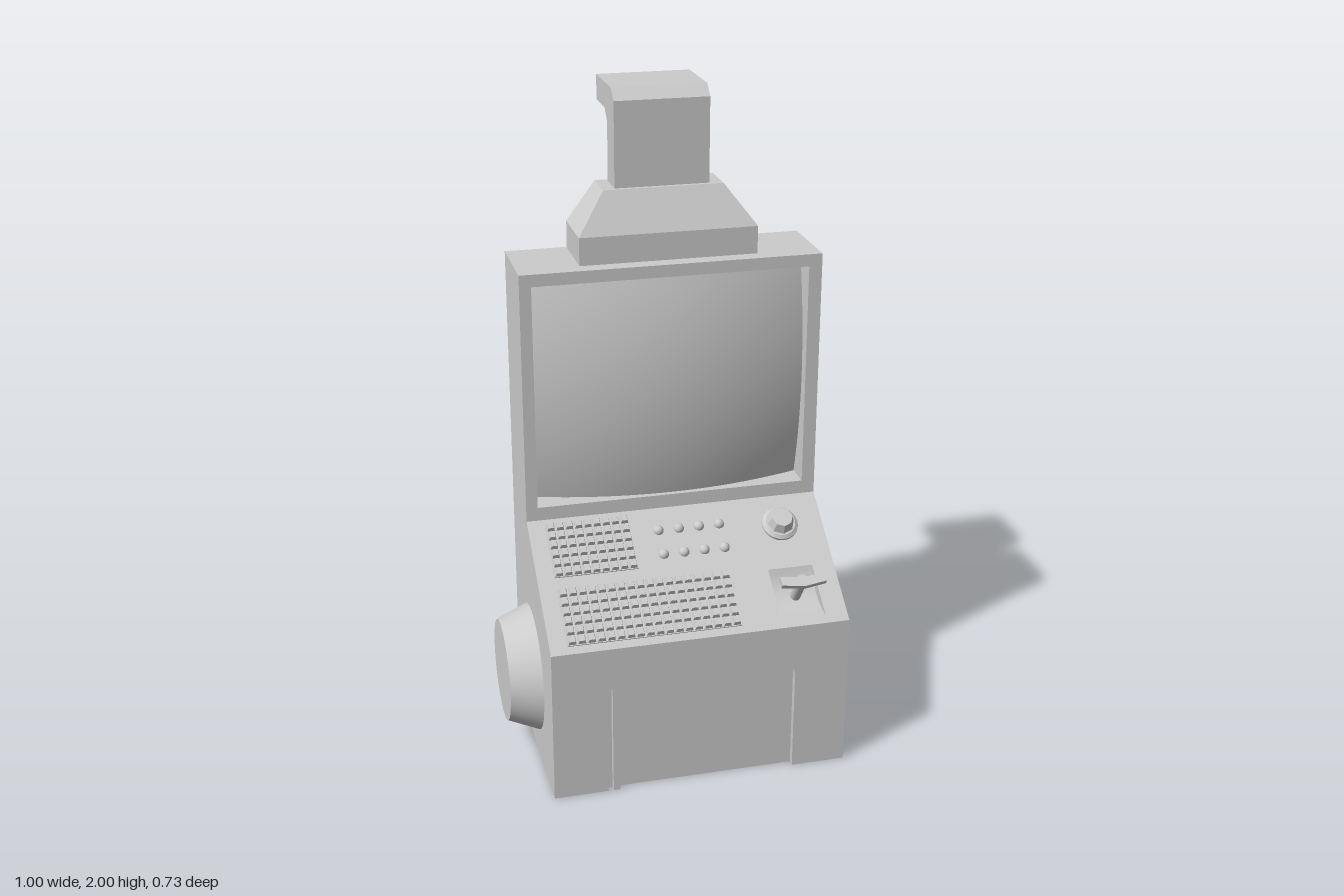
import * as THREE from 'three';
import { mergeGeometries, toCreasedNormals } from 'three/addons/utils/BufferGeometryUtils.js';

const mat = new THREE.MeshStandardMaterial({ color: 0xcccccc, side: THREE.DoubleSide });
const X0 = -0.405, X1 = 0.5, BACK = -0.245, FRONT = 0.365;
const TOP = 1.515, DESK_LOW = 0.485, DESK_HIGH = 0.743;
const slope = Math.atan2(DESK_HIGH - DESK_LOW, FRONT);
const deskY = z => DESK_HIGH - z * Math.tan(slope);

function add(parent, name, geometry, x = 0, y = 0, z = 0) {
  const mesh = new THREE.Mesh(geometry, mat);
  mesh.name = name;
  mesh.position.set(x, y, z);
  parent.add(mesh);
  return mesh;
}

const polygon = pts => new THREE.Shape(pts.map(p => new THREE.Vector2(...p)));
const extrude = (shape, depth) =>
  new THREE.ExtrudeGeometry(shape, { depth, bevelEnabled: false, curveSegments: 10 });

// Extrudes a (z, y) side profile from x0 to x1
const sideExtrude = (shape, x0, x1) =>
  extrude(shape, x1 - x0).rotateY(-Math.PI / 2).translate(x1, 0, 0);

// Box standing on y = 0 whose top rectangle differs from its bottom one: [x0, x1, z0, z1]
function taperedBox(bottom, top, height) {
  const g = new THREE.BoxGeometry(1, 1, 1);
  const p = g.attributes.position;
  for (let i = 0; i < p.count; i++) {
    const r = p.getY(i) > 0 ? top : bottom;
    p.setXYZ(i, r[p.getX(i) > 0 ? 1 : 0], p.getY(i) > 0 ? height : 0, r[p.getZ(i) > 0 ? 3 : 2]);
  }
  g.computeVertexNormals();
  return g;
}

// Core side profile, optionally with the lever trough scooped out of the desk
function coreProfile(trough) {
  const s = new THREE.Shape();
  s.moveTo(BACK, 0);
  s.lineTo(FRONT - 0.02, 0);
  s.lineTo(FRONT - 0.02, DESK_LOW);
  s.lineTo(FRONT, DESK_LOW);
  if (trough) {
    s.lineTo(0.345, deskY(0.345));
    s.quadraticCurveTo(0.235, deskY(0.275) - 0.05, 0.205, deskY(0.205));
  }
  s.lineTo(0, DESK_HIGH);
  s.lineTo(-0.1, DESK_HIGH);
  s.lineTo(-0.1, TOP);
  s.lineTo(BACK, TOP);
  return s;
}

function buildCabinet(root) {
  const g = new THREE.Group();
  g.name = 'cabinet';
  root.add(g);
  add(g, 'cabinetRight', sideExtrude(coreProfile(false), X0, 0.293));
  add(g, 'cabinetTrough', toCreasedNormals(sideExtrude(coreProfile(true), 0.293, 0.432), 0.5));
  add(g, 'cabinetLeft', sideExtrude(coreProfile(false), 0.432, X1));

  // Lower front with a narrow slot and a wide knee recess
  const front = new THREE.Shape();
  front.moveTo(X0, 0);
  front.lineTo(-0.24, 0);
  front.lineTo(-0.24, 0.335);
  front.quadraticCurveTo(-0.24, 0.35, -0.225, 0.352);
  front.lineTo(-0.225, 0);
  front.lineTo(-0.205, 0);
  front.lineTo(-0.205, 0.36);
  front.lineTo(0.285, 0.36);
  front.quadraticCurveTo(0.335, 0.36, 0.335, 0.32);
  front.lineTo(0.335, 0);
  front.lineTo(X1, 0);
  front.lineTo(X1, DESK_LOW);
  front.lineTo(X0, DESK_LOW);
  add(g, 'lowerFront', extrude(front, 0.02), 0, 0, FRONT - 0.02);

  // Screen surround
  const frame = polygon([[X0, DESK_HIGH], [X1, DESK_HIGH], [X1, TOP], [X0, TOP]]);
  frame.holes.push(polygon([[-0.37, 0.785], [-0.37, 1.478], [0.46, 1.478], [0.46, 0.785]]));
  add(g, 'screenFrame', extrude(frame, 0.1), 0, 0, -0.1);

  // Bulging screen
  const screen = new THREE.PlaneGeometry(0.83, 0.693, 24, 20);
  const p = screen.attributes.position;
  for (let i = 0; i < p.count; i++) {
    p.setZ(i, 0.03 - 0.38 * (p.getX(i) ** 2 + p.getY(i) ** 2));
  }
  screen.computeVertexNormals();
  add(g, 'screen', screen, 0.045, 1.1315, 0);

  // Tapered drum on the side
  const drum = new THREE.CylinderGeometry(0.156, 0.196, 0.095, 48);
  add(g, 'sideDrum', drum.rotateZ(Math.PI / 2), -0.4525, 0.264, 0.031);
}

function buildChimney(root) {
  const g = new THREE.Group();
  g.name = 'chimney';
  root.add(g);
  const base = [-0.22, 0.314, -0.237, -0.047];
  add(g, 'hoodBase', taperedBox(base, base, 0.083), 0, TOP, 0);
  add(g, 'hoodTaper', taperedBox(base, [-0.133, 0.227, -0.237, -0.115], 0.117), 0, TOP + 0.083, 0);
  const duct = polygon([[-0.128, 1.7], [-0.128, 1.968], [-0.163, 2], [-0.365, 2],
    [-0.365, 1.925], [-0.252, 1.925], [-0.219, 1.892], [-0.219, 1.7]]);
  add(g, 'bentDuct', sideExtrude(duct, -0.097, 0.187));
}

// Keyboard lying on the desk; z0 and z1 are measured horizontally
function addKeyboard(desk, name, x0, x1, z0, z1, cols, rows) {
  const s0 = z0 / Math.cos(slope), s1 = z1 / Math.cos(slope);
  const w = (x1 - x0) / cols, d = (s1 - s0) / rows;
  const plate = [x0, x1, s0, s1];
  const parts = [taperedBox(plate, plate, 0.004)];
  const a = w * 0.42, b = d * 0.42;
  for (let i = 0; i < cols; i++) {
    for (let j = 0; j < rows; j++) {
      parts.push(taperedBox([-a, a, -b, b], [-a * 0.7, a * 0.7, -b * 0.7, b * 0.7], 0.013)
        .translate(x0 + (i + 0.5) * w, 0.003, s0 + (j + 0.5) * d));
    }
  }
  add(desk, name, mergeGeometries(parts));
}

function buildControls(root) {
  // Local y is the desk normal, local z runs down the slope
  const desk = new THREE.Group();
  desk.name = 'controls';
  desk.position.set(0, DESK_HIGH, 0);
  desk.rotation.x = slope;
  root.add(desk);
  const along = z => z / Math.cos(slope);

  addKeyboard(desk, 'smallKeyboard', -0.352, -0.098, 0.012, 0.162, 9, 6);
  addKeyboard(desk, 'largeKeyboard', -0.352, 0.172, 0.193, 0.345, 18, 6);

  // Two rows of push buttons
  for (const z of [0.063, 0.13]) {
    for (let i = 0; i < 4; i++) {
      const button = new THREE.SphereGeometry(0.016, 14, 6, 0, Math.PI * 2, 0, Math.PI / 2);
      add(desk, 'button', button, -0.013 + i * 0.0633, 0, along(z));
    }
  }

  // Rotary knob with an eight-sided grip
  const collar = new THREE.LatheGeometry(
    [[0.056, 0], [0.056, 0.008], [0.046, 0.016], [0, 0.016]].map(p => new THREE.Vector2(...p)), 20);
  add(desk, 'knobCollar', toCreasedNormals(collar, 0.5), 0.365, 0, along(0.083));
  const grip = new THREE.CylinderGeometry(0.032, 0.043, 0.032, 8);
  add(desk, 'knobGrip', toCreasedNormals(grip, 0.3), 0.365, 0.03, along(0.083));

  // Lever with a chevron handle
  add(desk, 'leverStem', new THREE.CylinderGeometry(0.016, 0.016, 0.11, 16), 0.363, 0.03, along(0.274));
  const chevron = polygon([[-0.069, -0.012], [0, -0.022], [0.069, -0.012],
    [0.069, 0.016], [0, 0.008], [-0.069, 0.016]]);
  add(desk, 'leverHandle', extrude(chevron, 0.018).rotateX(-Math.PI / 2), 0.363, 0.076, along(0.279));
}

export function createModel() {
  const root = new THREE.Group();
  root.name = 'controlConsole';
  buildCabinet(root);
  buildChimney(root);
  buildControls(root);
  return root;
}
